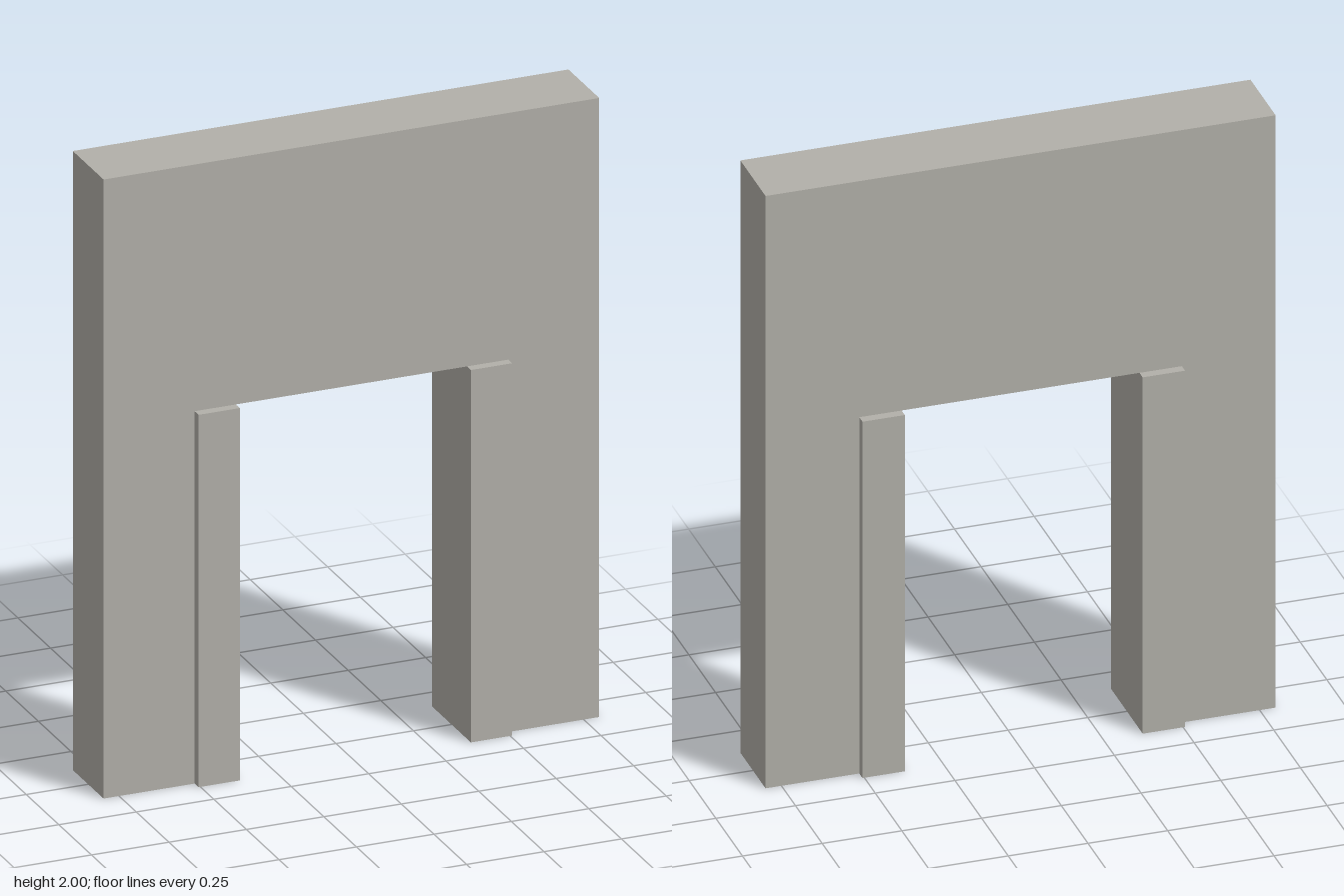
import * as THREE from 'three';

export function createModel() {
  const group = new THREE.Group();
  const stone = new THREE.MeshStandardMaterial({ color: 0xb2b0a9 });
  stone.name = 'stone grey';

  const halfWidth = 0.8, height = 2, depth = 0.236;
  const doorHeight = 1.203, doorInner = 0.373, doorOuter = 0.506, jambDepth = 0.296;

  // Wall slab with a doorway notch, extruded through its thickness
  const outline = new THREE.Shape([
    [-halfWidth, 0], [-doorOuter, 0], [-doorOuter, doorHeight], [doorOuter, doorHeight],
    [doorOuter, 0], [halfWidth, 0], [halfWidth, height], [-halfWidth, height],
  ].map(([x, y]) => new THREE.Vector2(x, y)));
  const wallGeometry = new THREE.ExtrudeGeometry(outline, { depth, bevelEnabled: false });
  wallGeometry.translate(0, 0, -depth / 2);
  const wall = new THREE.Mesh(wallGeometry, stone);
  wall.name = 'wall';
  group.add(wall);

  // Door jambs, slightly proud of the wall on both faces
  const jambGeometry = new THREE.BoxGeometry(doorOuter - doorInner, doorHeight, jambDepth);
  for (const [name, side] of [['leftJamb', 1], ['rightJamb', -1]]) {
    const jamb = new THREE.Mesh(jambGeometry, stone);
    jamb.name = name;
    jamb.position.set(side * (doorInner + doorOuter) / 2, doorHeight / 2, 0);
    group.add(jamb);
  }

  return group;
}
